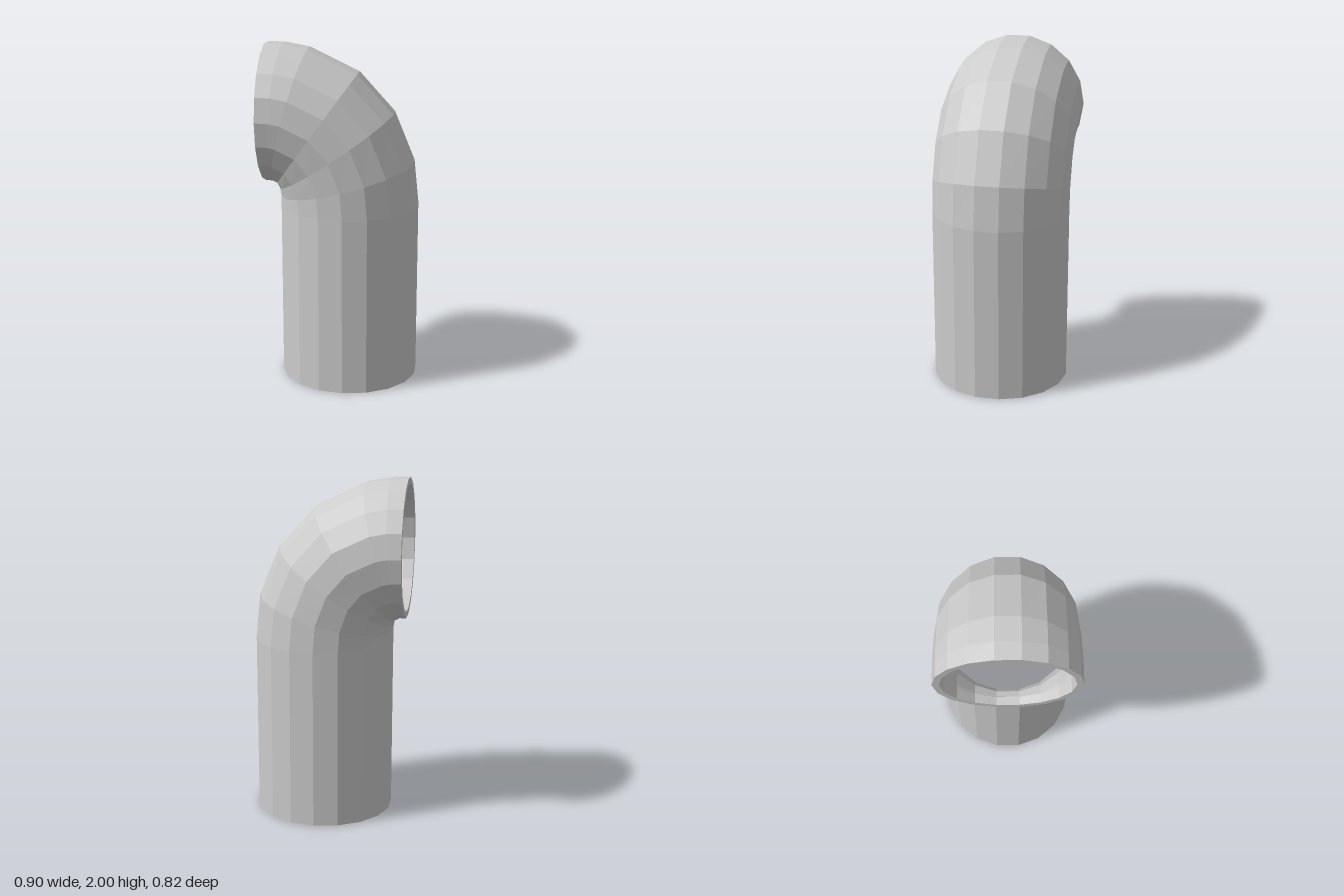
import * as THREE from 'three';

const SIDES = 18;
const OUTER = 0.41;
const INNER = 0.372;

// Pipe centreline stations: x, y, tilt of the cross-section in degrees
const STATIONS = [
  [0.043, 0, 0],
  [0.043, 1.05, 0],
  [0.03, 1.205, 15],
  [-0.034, 1.374, 34],
  [-0.147, 1.505, 54],
  [-0.305, 1.581, 75],
  [-0.376, 1.595, 86],
  [-0.45, 1.597, 90],
];

// One cross-section ring, with flats facing the inside and outside of the bend
function ring([x, y, tilt], radius) {
  const t = THREE.MathUtils.degToRad(tilt);
  return Array.from({ length: SIDES }, (_, j) => {
    const a = ((j + 0.5) / SIDES) * Math.PI * 2;
    const r = radius * Math.cos(a);
    return [x + r * Math.cos(t), y + r * Math.sin(t), radius * Math.sin(a)];
  });
}

// Skin a list of rings with quads
function skin(name, rings, material) {
  const index = [];
  for (let i = 0; i < rings.length - 1; i++) {
    for (let j = 0; j < SIDES; j++) {
      const k = (j + 1) % SIDES;
      const a = i * SIDES + j, b = i * SIDES + k;
      const c = a + SIDES, d = b + SIDES;
      index.push(a, c, b, b, c, d);
    }
  }
  const geometry = new THREE.BufferGeometry();
  geometry.setAttribute('position', new THREE.Float32BufferAttribute(rings.flat(2), 3));
  geometry.setIndex(index);
  const flat = geometry.toNonIndexed();
  flat.computeVertexNormals();
  const mesh = new THREE.Mesh(flat, material);
  mesh.name = name;
  return mesh;
}

export function createModel() {
  const group = new THREE.Group();
  group.name = 'elbowPipe';
  const material = new THREE.MeshStandardMaterial({ color: 0xcccccc, flatShading: true });

  const outer = STATIONS.map((s) => ring(s, OUTER));
  const inner = STATIONS.map((s) => ring(s, INNER)).reverse();

  // Walls and the rims joining them at both open ends
  group.add(
    skin('outerWall', outer, material),
    skin('mouthRim', [outer[outer.length - 1], inner[0]], material),
    skin('innerWall', inner, material),
    skin('baseRim', [inner[inner.length - 1], outer[0]], material),
  );
  return group;
}
